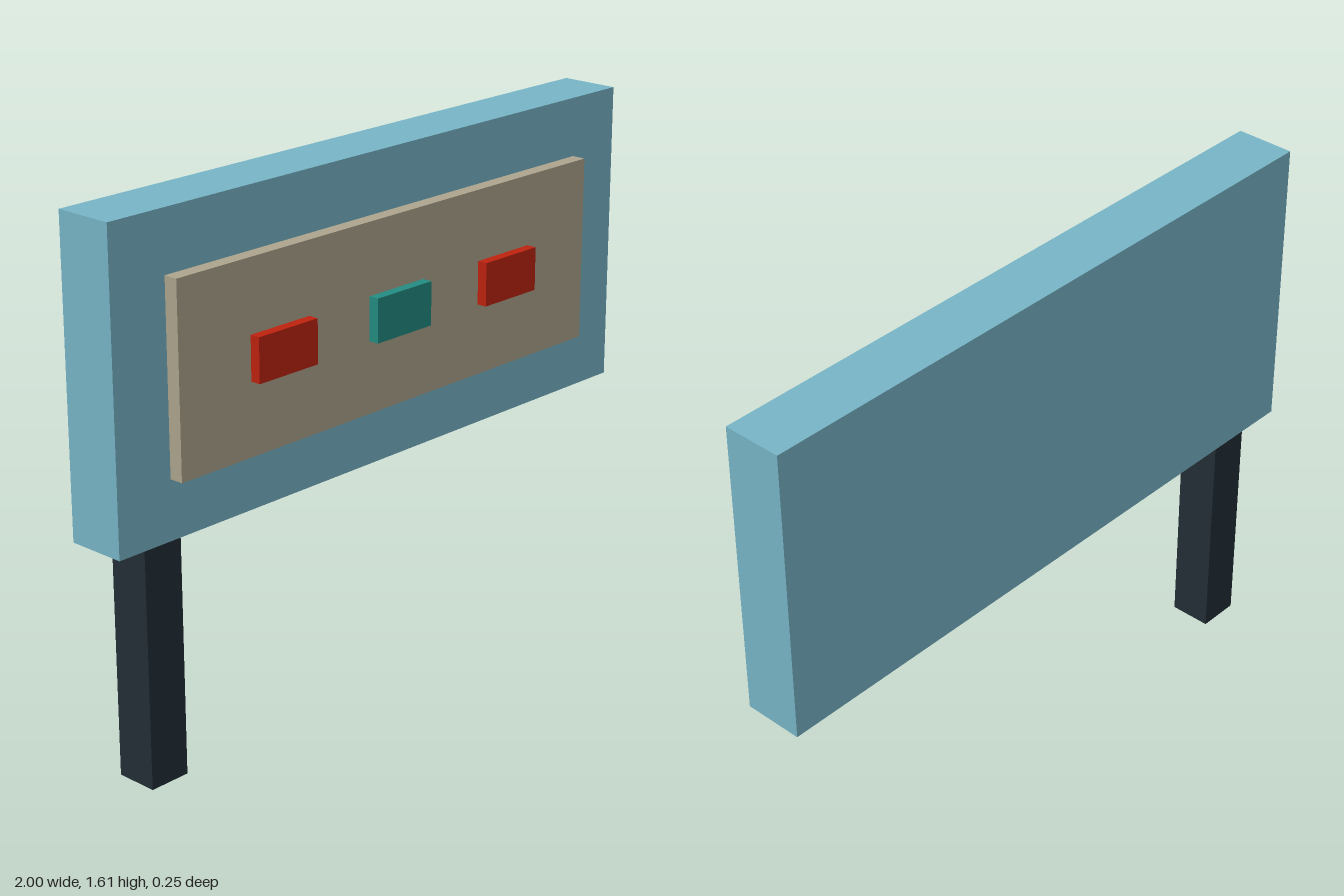
import * as THREE from 'three';

const mat = (name, color) => {
  const m = new THREE.MeshStandardMaterial({ color });
  m.name = name;
  return m;
};

export function createModel() {
  const group = new THREE.Group();
  group.name = 'signboard';

  const blue = mat('light blue', 0x78b6c7);
  const tan = mat('tan', 0xada58d);
  const red = mat('red', 0xbe220f);
  const teal = mat('teal', 0x238c81);
  const dark = mat('dark slate', 0x232e36);

  // Box given by its extents along each axis
  const box = (name, material, [x0, x1], [y0, y1], [z0, z1]) => {
    const mesh = new THREE.Mesh(new THREE.BoxGeometry(x1 - x0, y1 - y0, z1 - z0), material);
    mesh.position.set((x0 + x1) / 2, (y0 + y1) / 2, (z0 + z1) / 2);
    mesh.name = name;
    group.add(mesh);
  };

  // Single post under the board's right end
  box('post', dark, [-0.891, -0.763], [0, 0.714], [-0.1, 0.028]);

  // Board with a raised face plate
  box('board', blue, [-1, 1], [0.714, 1.614], [-0.126, 0.054]);
  box('facePlate', tan, [-0.816, 0.816], [0.887, 1.438], [0.054, 0.097]);

  // Row of three raised blocks
  [['rightBlock', red, -0.452], ['middleBlock', teal, 0], ['leftBlock', red, 0.452]]
    .forEach(([name, material, x]) =>
      box(name, material, [x - 0.109, x + 0.109], [1.099, 1.228], [0.097, 0.128]));

  return group;
}
